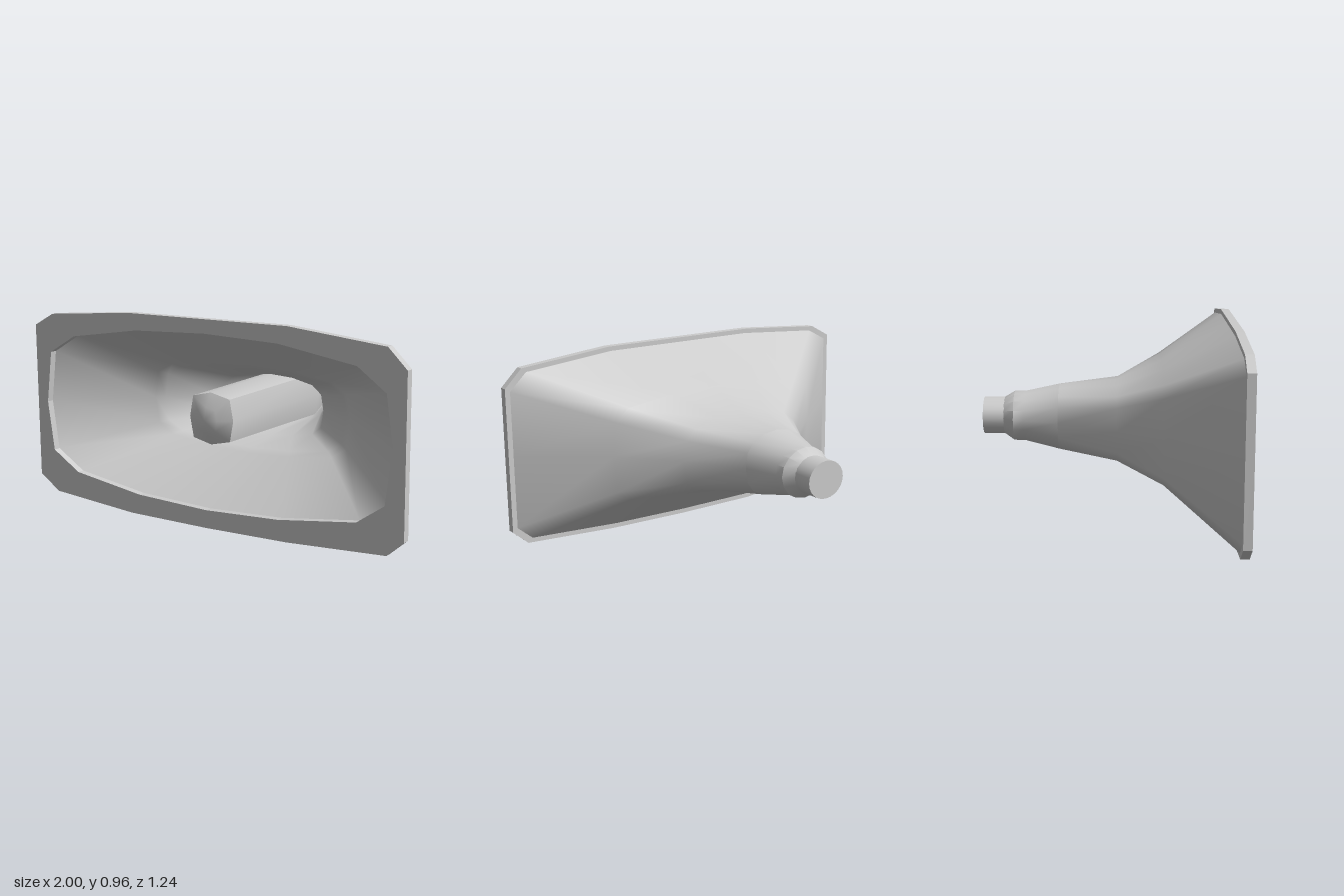
import * as THREE from 'three';
import { toCreasedNormals } from 'three/addons/utils/BufferGeometryUtils.js';

const grey = new THREE.MeshStandardMaterial({ color: 0xcccccc });

// Rim outline, 16 corners counter-clockwise from the model's left
const RIM = [
  [1, 0.485], [1, 0.825], [0.91, 0.915], [0.43, 0.965],
  [0, 0.965], [-0.43, 0.965], [-0.89, 0.93], [-1, 0.87],
  [-1, 0.485], [-1, 0.12], [-0.89, 0.045], [-0.43, 0.005],
  [0, 0], [0.43, 0.005], [0.92, 0.03], [1, 0.1],
];
const N = RIM.length;

// Cross-section between an ellipse (w = 0) and the rim outline (w = 1)
function section(hx, yLow, yHigh, w) {
  const cy = (yLow + yHigh) / 2, hy = (yHigh - yLow) / 2;
  return RIM.map(([x, y], i) => {
    const a = (i / N) * Math.PI * 2;
    const u = x * w + Math.cos(a) * (1 - w);
    const v = ((y - 0.4825) / 0.4825) * w + Math.sin(a) * (1 - w);
    return [u * hx, cy + v * hy];
  });
}

// Skin through rings ordered from back to front; inward turns the faces inside
function loft(rings, inward = false) {
  const pos = [], index = [], n = rings[0].pts.length;
  for (const { z, pts } of rings) for (const [x, y] of pts) pos.push(x, y, z);
  for (let r = 0; r < rings.length - 1; r++) {
    for (let i = 0; i < n; i++) {
      const j = (i + 1) % n;
      const a = r * n + i, b = r * n + j, c = a + n, d = b + n;
      if (inward) index.push(a, c, b, b, c, d);
      else index.push(a, b, c, b, d, c);
    }
  }
  const g = new THREE.BufferGeometry();
  g.setAttribute('position', new THREE.Float32BufferAttribute(pos, 3));
  g.setIndex(index);
  g.computeVertexNormals();
  return g;
}

const ring = (z, hx, lo, hi, w) => ({ z, pts: section(hx, lo, hi, w) });

export function createModel() {
  const group = new THREE.Group();
  const add = (name, geometry) => {
    const mesh = new THREE.Mesh(geometry, grey);
    mesh.name = name;
    group.add(mesh);
    return mesh;
  };

  // Flared outer shell
  add('hornShell', loft([
    ring(-0.25, 0.18, 0.325, 0.645, 0.2),
    ring(0.035, 0.34, 0.285, 0.67, 0.45),
    ring(0.25, 0.6, 0.23, 0.765, 0.75),
    ring(0.575, 0.98, 0.02, 0.945, 1),
  ]));

  // Tapered neck with a shoulder
  add('neck', toCreasedNormals(loft([
    ring(-0.52, 0.1, 0.4, 0.58, 0),
    ring(-0.47, 0.137, 0.365, 0.61, 0),
    ring(-0.42, 0.137, 0.365, 0.61, 0),
    ring(-0.25, 0.18, 0.325, 0.645, 0.2),
  ]), 0.6));

  // Rear driver stub
  const stub = add('driverStub', new THREE.CylinderGeometry(0.1, 0.1, 0.12, 24));
  stub.rotation.x = Math.PI / 2;
  stub.scale.z = 0.9;
  stub.position.set(0, 0.49, -0.56);

  // Inner flare
  const mouth = section(0.94, 0.085, 0.9, 0.55);
  add('hornInterior', loft([
    ring(-0.42, 0.1, 0.4, 0.58, 0),
    ring(-0.25, 0.15, 0.355, 0.615, 0.15),
    ring(0.035, 0.29, 0.325, 0.63, 0.4),
    ring(0.22, 0.51, 0.3, 0.69, 0.55),
    ring(0.25, 0.55, 0.28, 0.71, 0.55),
    { z: 0.575, pts: mouth },
  ], true));

  // Flat mouth flange
  const outline = new THREE.Shape(RIM.map(([x, y]) => new THREE.Vector2(x, y)));
  outline.holes.push(new THREE.Path(mouth.map(([x, y]) => new THREE.Vector2(x, y)).reverse()));
  const flange = add('mouthFlange', new THREE.ExtrudeGeometry(outline, { depth: 0.04, bevelEnabled: false }));
  flange.position.z = 0.57;

  // Central eight-sided plug with a shallow domed front
  const plugPts = [
    [0.13, 0], [0.11, 0.105], [0, 0.13], [-0.105, 0.105],
    [-0.125, 0], [-0.105, -0.105], [0, -0.13], [0.11, -0.105],
  ];
  const plugRing = (z, s) => ({ z, pts: plugPts.map(([x, y]) => [x * s, 0.505 + y * s]) });
  add('centrePlug', toCreasedNormals(loft([
    plugRing(-0.35, 0.7), plugRing(-0.2, 1), plugRing(0.56, 0.93),
    plugRing(0.6, 0.45), plugRing(0.617, 0.001),
  ]), 0.9));

  return group;
}
